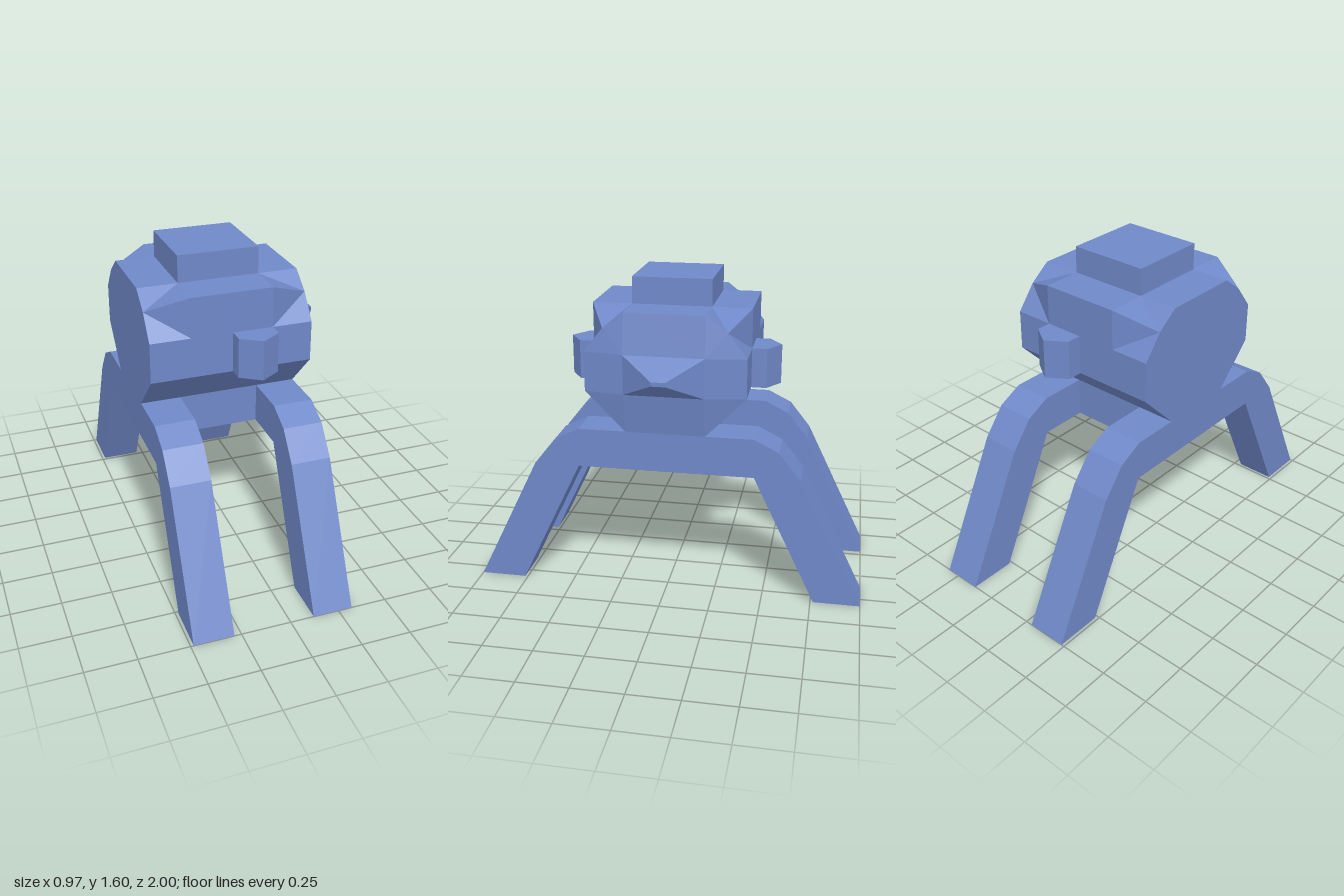
import * as THREE from 'three';

const material = new THREE.MeshStandardMaterial({ color: 0x6f88c8, flatShading: true });

// Mirrors a half outline [z, y] (bottom to top) into a closed ring at the given x.
function ring(x, half) {
  const other = half.map(([z, y]) => [-z, y]).reverse();
  return [...half, ...other].map(([z, y]) => new THREE.Vector3(x, y, z));
}

// Skins rings along x; creased quads bend through the outer shoulder corner.
function loft(rings, capStart, capEnd) {
  const pos = [];
  const tri = (...corners) => {
    if (new THREE.Triangle(...corners).getArea() < 1e-7) return;
    corners.forEach((p) => pos.push(p.x, p.y, p.z));
  };
  const n = rings[0].length;
  for (let i = 0; i < rings.length - 1; i++) {
    const a = rings[i], b = rings[i + 1];
    for (let j = 0; j < n; j++) {
      const k = (j + 1) % n;
      const cornerAtNext = j === 2 || j === 5;
      if ((i > 0) === cornerAtNext) {
        tri(a[j], b[j], b[k]);
        tri(a[j], b[k], a[k]);
      } else {
        tri(a[j], b[j], a[k]);
        tri(b[j], b[k], a[k]);
      }
    }
  }
  const first = rings[0], last = rings[rings.length - 1];
  for (let j = 1; j < n - 1; j++) {
    if (capStart) tri(first[0], first[j], first[j + 1]);
    if (capEnd) tri(last[0], last[j + 1], last[j]);
  }
  const geometry = new THREE.BufferGeometry();
  geometry.setAttribute('position', new THREE.Float32BufferAttribute(pos, 3));
  geometry.computeVertexNormals();
  return geometry;
}

function extrude(points, depth) {
  const shape = new THREE.Shape(points.map(([x, y]) => new THREE.Vector2(x, y)));
  return new THREE.ExtrudeGeometry(shape, { depth, bevelEnabled: false });
}

export function createModel() {
  const model = new THREE.Group();
  const add = (name, geometry) => {
    const mesh = new THREE.Mesh(geometry, material);
    mesh.name = name;
    model.add(mesh);
    return mesh;
  };
  const box = (name, x0, x1, y0, y1, depth) =>
    add(name, new THREE.BoxGeometry(x1 - x0, y1 - y0, depth))
      .position.set((x0 + x1) / 2, (y0 + y1) / 2, 0);

  // Faceted body with full shoulders in the middle and cut ones at the ends
  const section = (cz, cy) => [[0.2, 0.862], [0.4, 1.065], [0.4, 1.265], [cz, cy], [0.2, 1.465]];
  const end = section(0.305, 1.385), middle = section(0.4, 1.465);
  add('body', loft([ring(-0.485, end), ring(-0.285, middle), ring(0.12, middle), ring(0.32, end)], true, false));

  // Shallow face plate tapering into a pointed snout
  const block = (z, y0, y1) => [[z, y0], [z, y0], [z, y1], [z, y1], [z, y1]];
  add('snout', loft([
    ring(0.32, end),
    ring(0.355, block(0.2, 1.065, 1.265)),
    ring(0.485, block(0.035, 1.157, 1.178)),
  ], false, true));

  // Top hatch and belly block
  box('topBlock', -0.285, 0.12, 1.465, 1.6, 0.4);
  box('bellyBlock', -0.285, 0.12, 0.662, 0.862, 0.4);

  // Pointed knobs on both long sides
  const knob = [[-0.1, 0.38], [0.1, 0.38], [0.1, 0.475], [0, 0.54], [-0.1, 0.475]];
  for (const side of [1, -1]) {
    const geometry = extrude(knob, 0.2);
    geometry.rotateX(-Math.PI / 2);
    if (side > 0) geometry.rotateY(Math.PI);
    add(side > 0 ? 'frontKnob' : 'backKnob', geometry).position.set(0.02, 1.065, 0);
  }

  // Arched leg pairs, one at each end of the body
  const outer = [[1, 0], [0.675, 0.662], [0.565, 0.8], [0.44, 0.862]];
  const inner = [[0.445, 0.662], [0.765, 0]];
  const flip = (points) => points.map(([z, y]) => [-z, y]).reverse();
  const arch = [...outer, ...flip(outer), ...flip(inner), ...inner];
  for (const [name, x] of [['rightLegs', -0.485], ['leftLegs', 0.12]]) {
    const geometry = extrude(arch, 0.2);
    geometry.rotateY(Math.PI / 2);
    add(name, geometry).position.x = x;
  }
  return model;
}
